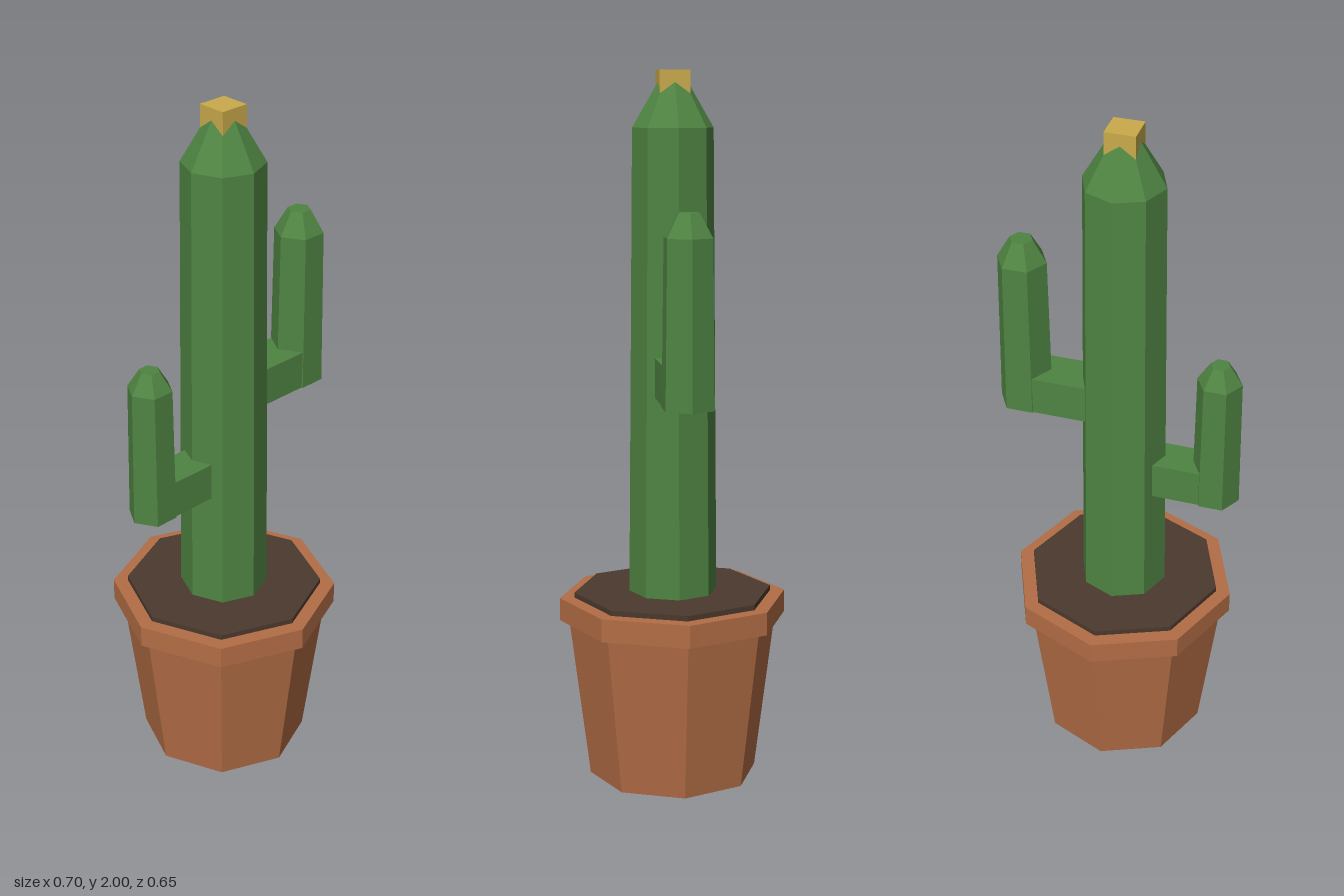
import * as THREE from 'three';

const mat = (name, color) => {
  const m = new THREE.MeshStandardMaterial({ color, flatShading: true });
  m.name = name;
  return m;
};

export function createModel() {
  const clay = mat('terracotta', 0xb36d45);
  const green = mat('cactusGreen', 0x4f8442);
  const earth = mat('soilBrown', 0x4b392d);
  const yellow = mat('flowerYellow', 0xc9aa4b);

  const root = new THREE.Group();
  root.name = 'pottedCactus';
  const plant = new THREE.Group();
  plant.name = 'plant';
  plant.position.x = -0.012;
  root.add(plant);

  const add = (parent, name, geometry, material, x, y) => {
    const mesh = new THREE.Mesh(geometry, material);
    mesh.name = name;
    mesh.position.set(x, y, 0);
    parent.add(mesh);
    return mesh;
  };
  // Faceted tapered column between two heights
  const column = (parent, name, material, sides, rBottom, rTop, y0, y1, x = 0, turn = 0) => {
    const g = new THREE.CylinderGeometry(rTop, rBottom, y1 - y0, sides).rotateY(turn);
    return add(parent, name, g, material, x, (y0 + y1) / 2);
  };

  // Pot
  column(plant, 'pot', clay, 8, 0.241, 0.3, 0, 0.47);
  column(plant, 'potRim', clay, 8, 0.325, 0.325, 0.46, 0.525);
  column(plant, 'soil', earth, 8, 0.283, 0.283, 0.5, 0.54);

  // Trunk with tapered crown and flower
  column(plant, 'trunk', green, 8, 0.126, 0.113, 0.52, 1.845);
  column(plant, 'trunkCrown', green, 8, 0.113, 0.04, 1.845, 1.97);
  add(plant, 'flower', new THREE.BoxGeometry(0.084, 0.084, 0.084), yellow, 0, 1.958);

  // Arms: a horizontal elbow and an upright hexagonal column with a cap
  const arms = [
    { name: 'leftArm', x: 0.285, r: 0.076, rTop: 0.07, tip: 0.032, y0: 1.11, y1: 1.565, y2: 1.63, elbowTop: 1.222, halfZ: 0.063 },
    { name: 'rightArm', x: -0.269, r: 0.068, rTop: 0.063, tip: 0.028, y0: 0.885, y1: 1.28, y2: 1.335, elbowTop: 0.995, halfZ: 0.055 },
  ];
  for (const a of arms) {
    const arm = new THREE.Group();
    arm.name = a.name;
    plant.add(arm);
    const inner = Math.sign(a.x) * 0.05;
    const h = a.elbowTop - a.y0 - 0.001;
    add(arm, a.name + 'Elbow', new THREE.BoxGeometry(Math.abs(a.x - inner), h, a.halfZ * 2),
      green, (a.x + inner) / 2, a.elbowTop - h / 2);
    column(arm, a.name + 'Upright', green, 6, a.r, a.rTop, a.y0, a.y1, a.x, Math.PI / 6);
    column(arm, a.name + 'Cap', green, 6, a.rTop, a.tip, a.y1, a.y2, a.x, Math.PI / 6);
  }
  return root;
}
